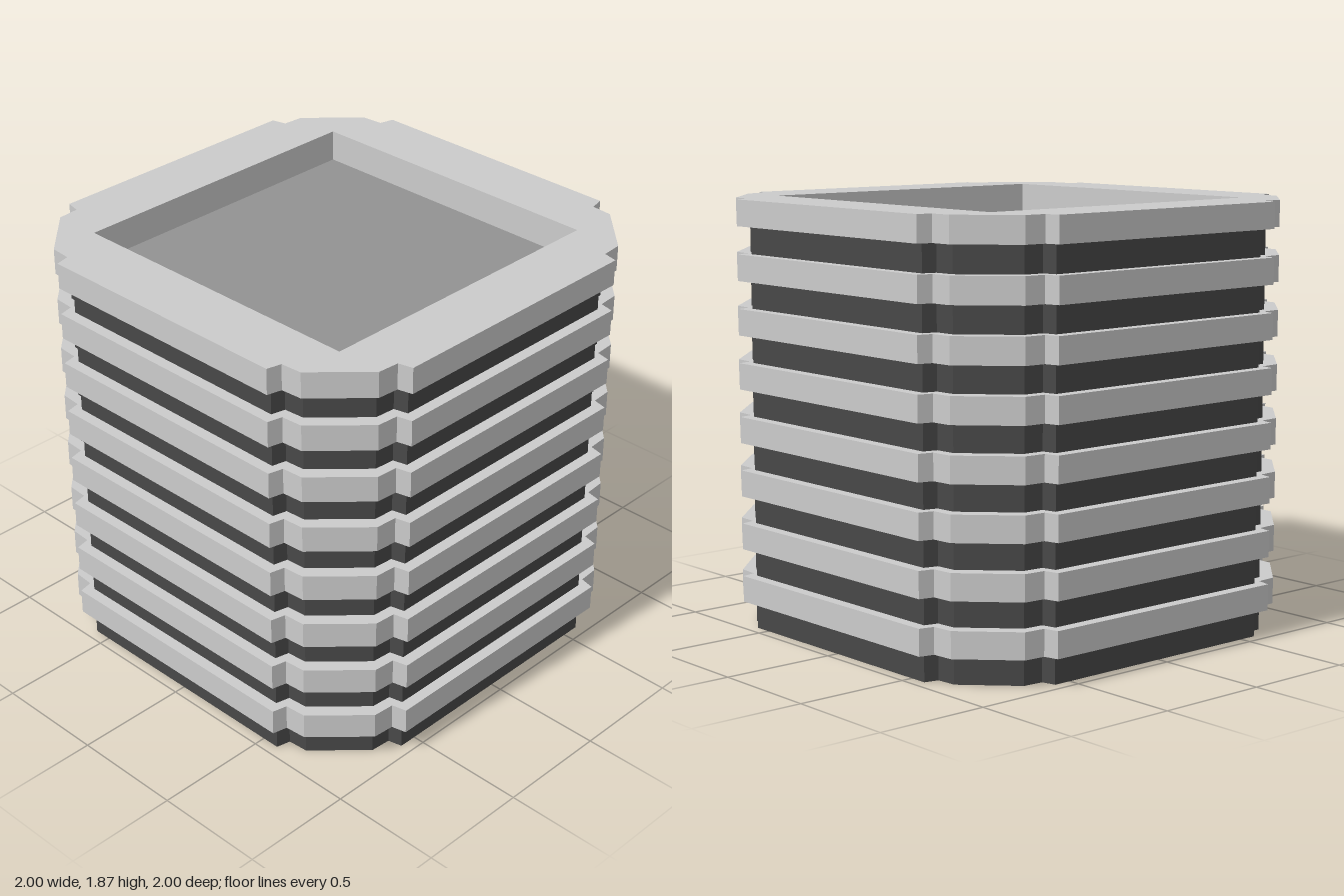
import * as THREE from 'three';

const PERIOD = 0.2343, DARK_H = 0.12, COUNT = 8, TOP = PERIOD * COUNT;
const NECK = 0.95;            // recessed bands are scaled by this
const POCKET = 0.715, POCKET_DEPTH = 0.14;

const mat = (color) => new THREE.MeshStandardMaterial({ color, flatShading: true, side: THREE.DoubleSide });

// One notched, chamfered corner, turned four times into a closed outline of [x, z]
const CORNER = [[1, 0.61], [0.935, 0.625], [0.928, 0.72], [0.72, 0.928], [0.625, 0.935], [0.61, 1]];
const turn = ([x, z], n) => (n ? turn([-z, x], n - 1) : [x, z]);
const OUTLINE = [0, 1, 2, 3].flatMap((n) => CORNER.map((p) => turn(p, n)));
const SQUARE = [0, 1, 2, 3].map((n) => turn([POCKET, POCKET], n));

// Faceted skin through scaled copies of an outline; rings are [scale, y]
function loft(outline, rings) {
  const pos = [];
  for (let r = 0; r < rings.length - 1; r++) {
    outline.forEach((p, i) => {
      const q = outline[(i + 1) % outline.length];
      const at = ([x, z], [s, y]) => [x * s, y, z * s];
      const a = at(p, rings[r]), b = at(q, rings[r]);
      const c = at(p, rings[r + 1]), d = at(q, rings[r + 1]);
      pos.push(...a, ...c, ...b, ...b, ...c, ...d);
    });
  }
  const g = new THREE.BufferGeometry();
  g.setAttribute('position', new THREE.Float32BufferAttribute(pos, 3));
  g.computeVertexNormals();
  return g;
}

export function createModel() {
  const model = new THREE.Group();
  model.name = 'ribbedContainer';
  const light = mat(0xcccccc), dark = mat(0x484848), floorGrey = mat(0x929292);
  const add = (name, geometry, material) => {
    const mesh = new THREE.Mesh(geometry, material);
    mesh.name = name;
    model.add(mesh);
    return mesh;
  };

  // Alternating recessed bands and projecting ribs, open at the bottom
  const bandGeo = loft(OUTLINE, [[NECK, 0], [NECK, DARK_H]]);
  const ribRings = [[NECK, DARK_H], [1, DARK_H], [1, PERIOD]];
  const ribGeo = loft(OUTLINE, [...ribRings, [NECK, PERIOD]]);
  const topRibGeo = loft(OUTLINE, ribRings);
  for (let i = 0; i < COUNT; i++) {
    add('recessedBand', bandGeo, dark).position.y = i * PERIOD;
    add('rib', i < COUNT - 1 ? ribGeo : topRibGeo, light).position.y = i * PERIOD;
  }

  // Flat rim around the square pocket
  const toVec = ([x, z]) => new THREE.Vector2(x, -z);
  const rim = new THREE.Shape(OUTLINE.map(toVec));
  rim.holes.push(new THREE.Path(SQUARE.map(toVec)));
  add('topRim', new THREE.ShapeGeometry(rim).rotateX(-Math.PI / 2), light).position.y = TOP;

  // Pocket walls (facing inward) and floor
  add('pocketWalls', loft(SQUARE, [[1, TOP], [1, TOP - POCKET_DEPTH]]), light);
  const floor = new THREE.PlaneGeometry(POCKET * 2, POCKET * 2).rotateX(-Math.PI / 2);
  add('pocketFloor', floor, floorGrey).position.y = TOP - POCKET_DEPTH;

  return model;
}
